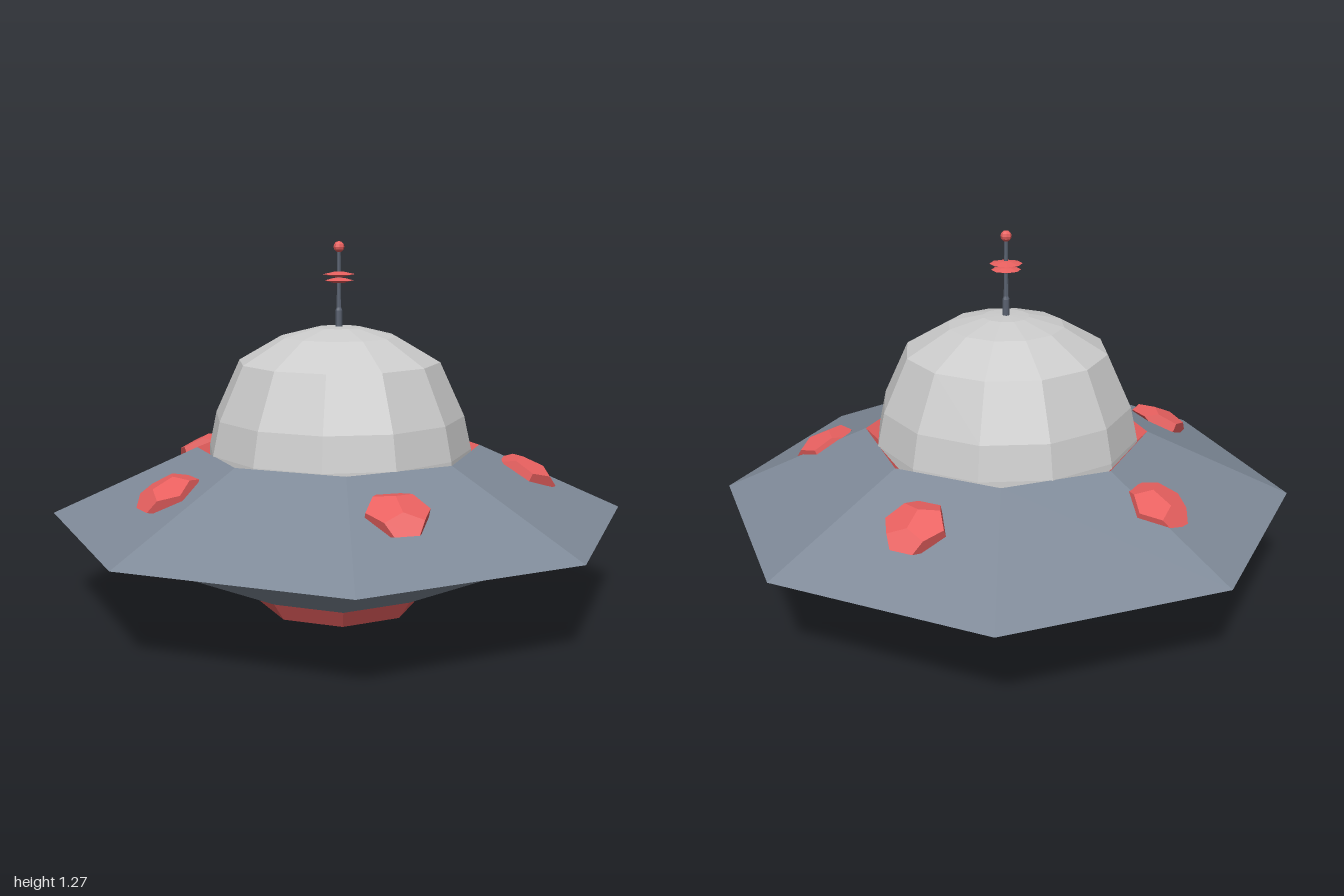
import * as THREE from 'three';

const paint = (color) => new THREE.MeshStandardMaterial({ color, flatShading: true });

export function createModel() {
  const model = new THREE.Group();
  const hullGrey = paint(0x7f8a98), red = paint(0xe8605f), domeGrey = paint(0xcccccc), dark = paint(0x5a6270);
  const TURN = -0.1; // small twist shared by the eight-sided hull parts

  const add = (name, geometry, material, parent = model) => {
    const mesh = new THREE.Mesh(geometry, material);
    mesh.name = name;
    parent.add(mesh);
    return mesh;
  };
  // Faceted turned shape; profile runs from the bottom up
  const turned = (profile, sides, start = 0) =>
    new THREE.LatheGeometry(profile.map(([r, y]) => new THREE.Vector2(r, y)), sides, start);

  // Saucer body with its red base and the red recess around the dome
  add('base', turned([[0, 0], [0.28, 0], [0.325, 0.065]], 8, TURN), red);
  add('hull', turned([[0.325, 0.065], [0.72, 0.25], [1, 0.335], [0.495, 0.565]], 8, TURN), hullGrey);
  add('domeRecess', turned([[0.495, 0.565], [0.43, 0.5], [0, 0.5]], 8, TURN), red);

  // Dome
  add('dome', turned([
    [0.465, 0.5], [0.46, 0.565], [0.435, 0.68], [0.35, 0.865], [0.2, 0.952], [0.08, 0.982], [0, 0.985],
  ], 12, Math.PI / 12), domeGrey);

  // Five flattened lights lying on the sloping hull
  for (let i = 0; i < 5; i++) {
    const arm = new THREE.Group();
    arm.name = 'hullLight';
    arm.rotation.y = -(0.19 + i * Math.PI * 2 / 5);
    const light = add('lightBulb', new THREE.DodecahedronGeometry(0.11), red, arm);
    light.position.set(0.66, 0.48, 0);
    light.rotation.z = -0.43;
    light.scale.y = 0.4;
    model.add(arm);
  }

  // Antenna: stepped mast, two lens-shaped rings and a tip ball
  const antenna = new THREE.Group();
  antenna.name = 'antenna';
  model.add(antenna);
  add('mast', turned([[0.012, 0.97], [0.012, 1.04], [0.008, 1.05], [0.006, 1.25]], 8), dark, antenna);
  for (const [y, r] of [[1.142, 0.05], [1.163, 0.056]]) {
    add('antennaRing', turned([[0, y - 0.01], [0.02, y - 0.008], [r, y], [0.02, y + 0.008], [0, y + 0.01]], 8), red, antenna);
  }
  add('antennaTip', new THREE.SphereGeometry(0.019, 8, 6), red, antenna).position.y = 1.256;

  return model;
}
